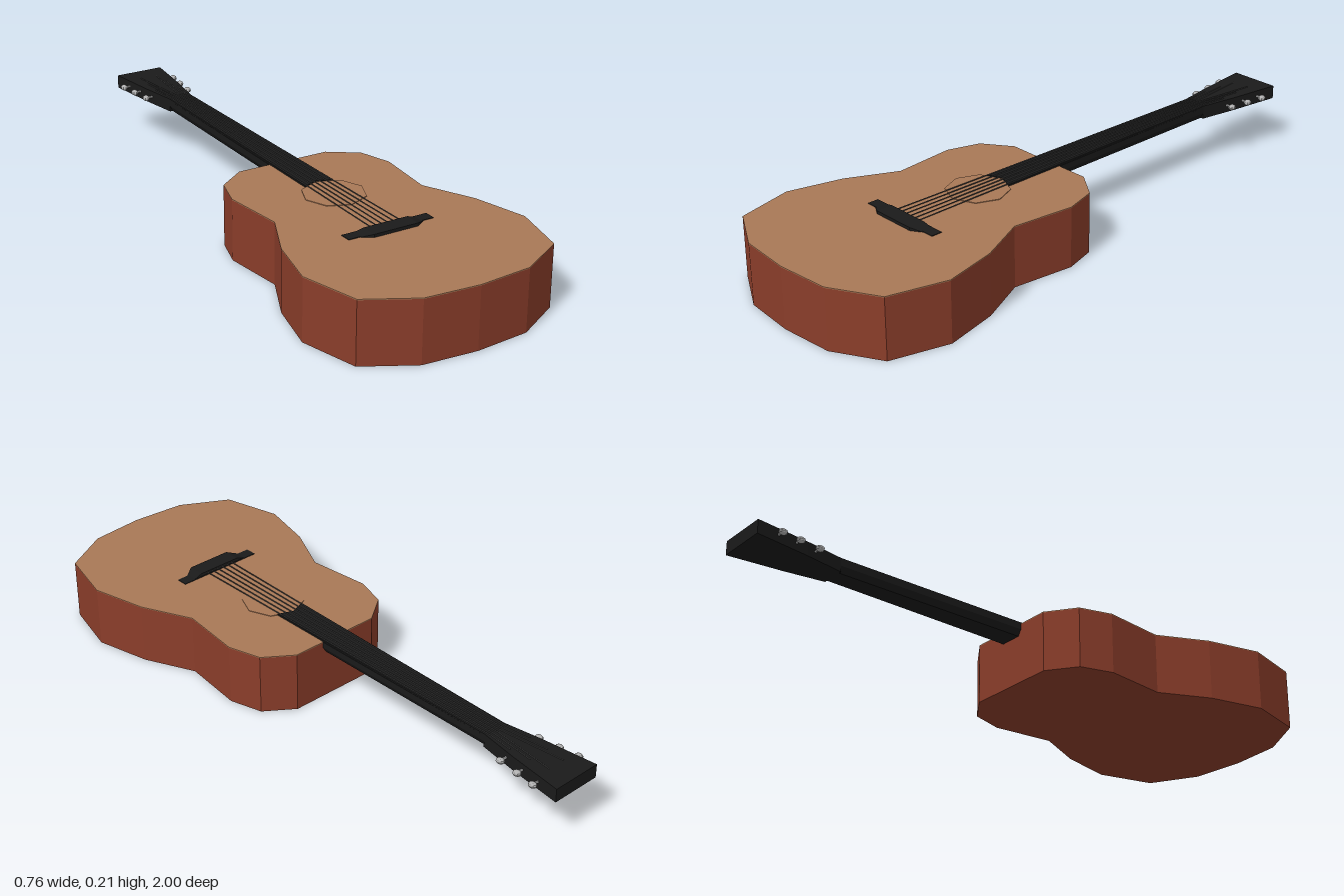
import * as THREE from 'three';
import { ConvexGeometry } from 'three/addons/geometries/ConvexGeometry.js';

const mat = (color) => new THREE.MeshStandardMaterial({ color, flatShading: true });
const wood = mat(0x8a3d2a), spruce = mat(0xa87856), black = mat(0x1a1a1a);
const steel = mat(0x4a4a4a), chrome = mat(0xb0b0b0);
const v = (x, y, z) => new THREE.Vector3(x, y, z);

// Closed plan outline from its right half, given as [x, z] from front to back
function mirrored(half) {
  const left = half.filter(([x]) => x > 0).map(([x, z]) => [-x, z]).reverse();
  return [...half, ...left];
}

// Plan outline (x, z) raised into a slab between y0 and y1
function slab(points, y0, y1) {
  const shape = new THREE.Shape(points.map(([x, z]) => new THREE.Vector2(x, -z)));
  const geo = new THREE.ExtrudeGeometry(shape, { depth: y1 - y0, bevelEnabled: false });
  return geo.rotateX(-Math.PI / 2).translate(0, y0, 0);
}

// Thin rod between two points
function rod(a, b, radius, sides) {
  const dir = b.clone().sub(a);
  const geo = new THREE.CylinderGeometry(radius, radius, dir.length(), sides);
  geo.applyQuaternion(new THREE.Quaternion().setFromUnitVectors(v(0, 1, 0), dir.normalize()));
  const mid = a.clone().add(b).multiplyScalar(0.5);
  return geo.translate(mid.x, mid.y, mid.z);
}

export function createModel() {
  const guitar = new THREE.Group();
  guitar.name = 'guitar';
  const add = (name, geo, material) => {
    const mesh = new THREE.Mesh(geo, material);
    mesh.name = name;
    guitar.add(mesh);
    return mesh;
  };

  // Body and soundboard
  const outline = mirrored([
    [0, 0.995], [0.177, 0.98], [0.331, 0.895], [0.38, 0.705], [0.337, 0.525],
    [0.26, 0.362], [0.282, 0.155], [0.25, 0.048], [0.157, -0.018],
  ]);
  add('body', slab(outline, 0, 0.197), wood);
  add('soundboard', slab(outline, 0.197, 0.2), spruce);

  // Sound hole inset
  const inset = new THREE.CylinderGeometry(0.1, 0.1, 0.004, 8);
  add('soundHole', inset.translate(0, 0.2, 0.275), spruce);

  // Neck with a chamfered underside
  const neckPoints = [];
  for (const [w, z] of [[0.05, -0.01], [0.041, -0.71]]) {
    for (const s of [-1, 1]) {
      neckPoints.push(v(s * w, 0.2, z), v(s * w, 0.18, z), v(s * w * 0.75, 0.16, z));
    }
  }
  add('neck', new ConvexGeometry(neckPoints), black);

  // Fretboard, its end notched around the sound hole
  add('fretboard', slab(mirrored([[0, 0.175], [0.05, 0.195], [0.041, -0.71]]), 0.199, 0.205), black);

  // Flared headstock
  add('headstock', slab(mirrored([[0.041, -0.69], [0.062, -0.82], [0.084, -1]]), 0.16, 0.205), black);

  // Bridge: thin plate and raised saddle block
  add('bridgePlate', slab(mirrored([[0.147, 0.577], [0.147, 0.54]]), 0.199, 0.202), black);
  add('bridge', new ConvexGeometry([-1, 1].flatMap((s) => [
    v(s * 0.11, 0.2, 0.542), v(s * 0.11, 0.2, 0.578), v(s * 0.075, 0.2, 0.6),
    v(s * 0.075, 0.21, 0.545), v(s * 0.075, 0.21, 0.6),
  ])), black);

  // Tuning pegs and strings, three on each side
  const pegZ = [-0.79, -0.86, -0.925];
  for (const s of [-1, 1]) {
    pegZ.forEach((z, i) => {
      const edge = 0.057 + i * 0.008;
      add('pegShaft', rod(v(s * (edge - 0.01), 0.185, z), v(s * (edge + 0.025), 0.185, z), 0.004, 6), chrome);
      const knob = new THREE.SphereGeometry(0.013, 8, 6).scale(0.9, 0.75, 1.1);
      add('pegKnob', knob.translate(s * (edge + 0.024), 0.185, z), chrome);

      const spread = 1 - i * 0.4;
      const nut = v(s * 0.033 * spread, 0.206, -0.71);
      add('string', rod(v(s * 0.05 * spread, 0.206, 0.55), nut, 0.0018, 5), steel);
      add('stringEnd', rod(nut, v(s * (0.042 - i * 0.006), 0.206, z), 0.0018, 5), steel);
    });
  }
  return guitar;
}
